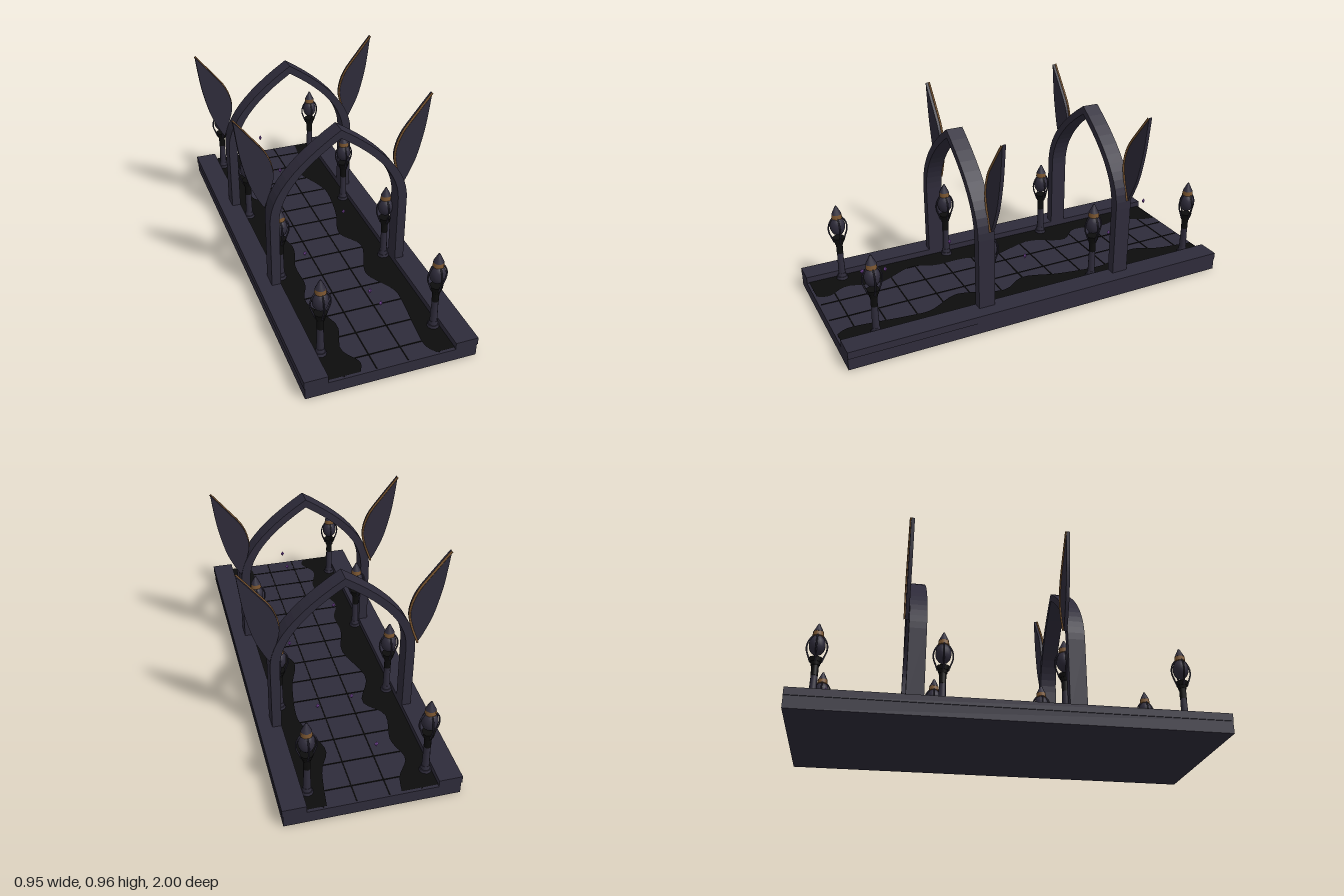
import * as THREE from 'three';

const mat = (name, color, side = THREE.FrontSide) => {
  const m = new THREE.MeshStandardMaterial({ color, side });
  m.name = name;
  return m;
};
const V2 = (x, y) => new THREE.Vector2(x, y);

export function createModel() {
  const root = new THREE.Group();
  const stone = mat('dark slate', 0x2e2b3a);
  const black = mat('black', 0x0c0c0c, THREE.DoubleSide);
  const bronze = mat('bronze', 0x7a5530);
  const violet = mat('violet', 0x7a48a0);

  const add = (parent, name, geo, material, x = 0, y = 0, z = 0) => {
    const m = new THREE.Mesh(geo, material);
    m.name = name;
    m.position.set(x, y, z);
    parent.add(m);
    return m;
  };
  const box = (w, h, d) => new THREE.BoxGeometry(w, h, d);

  // Bridge deck and raised curbs
  add(root, 'deck', box(0.81, 0.06, 2), stone, 0, 0.03, 0);
  for (const s of [-1, 1]) add(root, 'curb', box(0.11, 0.036, 2), stone, s * 0.355, 0.077, 0);

  // Thin joints between the paving slabs
  for (const x of [-0.225, -0.075, 0.075, 0.225])
    add(root, 'pavingJoint', box(0.005, 0.003, 1.98), black, x, 0.0615, 0);
  for (let i = -6; i <= 6; i++)
    add(root, 'pavingJoint', box(0.6, 0.003, 0.005), black, 0, 0.0615, i * 0.15);

  // Wavy dark growth along both sides of the path: [x, z] of the inner edge
  const edges = [
    [[-0.13, -0.99], [-0.15, -0.9], [-0.21, -0.8], [-0.18, -0.67], [-0.21, -0.5], [-0.13, -0.38], [-0.2, -0.2],
      [-0.14, 0.03], [-0.18, 0.2], [-0.18, 0.35], [-0.22, 0.48], [-0.14, 0.67], [-0.18, 0.83], [-0.13, 0.93], [-0.15, 0.99]],
    [[0.21, -0.99], [0.18, -0.79], [0.13, -0.66], [0.19, -0.5], [0.21, -0.39], [0.18, -0.18], [0.13, 0],
      [0.2, 0.14], [0.14, 0.32], [0.14, 0.4], [0.21, 0.53], [0.21, 0.64], [0.19, 0.8], [0.18, 0.93], [0.21, 0.99]],
  ];
  edges.forEach((pts, i) => {
    const side = i ? 0.3 : -0.3;
    const shape = new THREE.Shape();
    shape.moveTo(side, 0.99);
    shape.lineTo(pts[0][0], 0.99);
    shape.splineThru(pts.slice(1).map(([x, z]) => V2(x, -z)));
    shape.lineTo(side, -0.99);
    add(root, 'darkGrowth', new THREE.ShapeGeometry(shape, 4).rotateX(-Math.PI / 2), black, 0, 0.0655, 0);
  });

  // Pointed arch
  const archShape = new THREE.Shape();
  archShape.moveTo(0.345, 0.09);
  archShape.lineTo(0.345, 0.45);
  archShape.quadraticCurveTo(0.345, 0.66, 0, 0.88);
  archShape.quadraticCurveTo(-0.345, 0.66, -0.345, 0.45);
  archShape.lineTo(-0.345, 0.09);
  archShape.lineTo(-0.3, 0.09);
  archShape.lineTo(-0.3, 0.45);
  archShape.quadraticCurveTo(-0.3, 0.645, 0, 0.838);
  archShape.quadraticCurveTo(0.3, 0.645, 0.3, 0.45);
  archShape.lineTo(0.3, 0.09);
  const archGeo = new THREE.ExtrudeGeometry(archShape, { depth: 0.082, bevelEnabled: false, curveSegments: 12 });

  // Leaf-shaped wing with a bronze trim on its inner edge
  const inner = [V2(0.345, 0.488), V2(0.308, 0.595), V2(0.297, 0.67), V2(0.325, 0.765), V2(0.4, 0.868), V2(0.473, 0.96)];
  const outer = [V2(0.46, 0.85), V2(0.446, 0.76), V2(0.414, 0.633), V2(0.376, 0.544), V2(0.345, 0.488)];
  const leaf = new THREE.Shape();
  leaf.moveTo(inner[0].x, inner[0].y);
  leaf.splineThru(inner.slice(1));
  leaf.splineThru(outer);
  const leafGeo = new THREE.ExtrudeGeometry(leaf, { depth: 0.017, bevelEnabled: false, curveSegments: 5 });
  const trimPath = new THREE.CatmullRomCurve3(inner.map((p) => new THREE.Vector3(p.x, p.y, 0)));
  const trimGeo = new THREE.TubeGeometry(trimPath, 28, 0.0055, 6);

  for (const z of [0.2575, -0.4845]) {
    const arch = new THREE.Group();
    arch.name = 'archway';
    arch.position.z = z;
    add(arch, 'arch', archGeo, stone);
    for (const turn of [0, Math.PI]) {
      const wing = new THREE.Group();
      wing.name = 'wing';
      wing.rotation.y = turn;
      add(wing, 'wingBlade', leafGeo, stone, 0, 0, 0.003);
      add(wing, 'wingTrim', trimGeo, bronze, 0, 0, 0.0215);
      arch.add(wing);
    }
    root.add(arch);
  }

  // Lamp post with a caged globe
  const ribPath = new THREE.CatmullRomCurve3(
    [[0.024, 0.275], [0.033, 0.3], [0.045, 0.335], [0.045, 0.365], [0.034, 0.393], [0.022, 0.408]]
      .map(([x, y]) => new THREE.Vector3(x, y, 0)));
  const ribGeo = new THREE.TubeGeometry(ribPath, 14, 0.004, 5);
  // [name, top radius, bottom radius, bottom y, top y, material]
  const lampParts = [
    ['lampFoot', 0.026, 0.03, 0.062, 0.079, stone],
    ['lampPlinth', 0.019, 0.022, 0.079, 0.098, stone],
    ['lampPost', 0.0155, 0.018, 0.098, 0.21, stone],
    ['lampNeck', 0.0165, 0.0165, 0.21, 0.265, black],
    ['lampCollar', 0.024, 0.02, 0.26, 0.28, black],
    ['lampDish', 0.031, 0.026, 0.276, 0.297, black],
    ['lampBand', 0.024, 0.027, 0.405, 0.427, bronze],
    ['lampCap', 0.004, 0.025, 0.427, 0.47, stone],
  ].map(([name, rt, rb, y0, y1, m]) =>
    [name, new THREE.CylinderGeometry(rt, rb, y1 - y0, 10), m, (y0 + y1) / 2]);
  const globeGeo = new THREE.SphereGeometry(1, 14, 10).scale(0.038, 0.05, 0.038);

  for (const x of [-0.274, 0.274]) {
    for (const z of [0.825, 0.253, -0.318, -0.89]) {
      const lamp = new THREE.Group();
      lamp.name = 'lamp';
      lamp.position.set(x, 0, z);
      for (const [name, geo, m, y] of lampParts) add(lamp, name, geo, m, 0, y, 0);
      add(lamp, 'lampGlobe', globeGeo, stone, 0, 0.362, 0);
      for (let i = 0; i < 4; i++) add(lamp, 'cageRib', ribGeo, stone).rotation.y = (i * Math.PI) / 2;
      root.add(lamp);
    }
  }

  // Floating crystals
  const crystalGeo = new THREE.OctahedronGeometry(1).scale(0.01, 0.015, 0.01);
  for (const [x, y, z] of [
    [-0.157, 0.198, 0.28], [-0.05, 0.238, -0.85], [-0.04, 0.213, -0.49], [0.018, 0.247, 0.8],
    [0.015, 0.228, 0.685], [0.13, 0.203, -0.508], [0.153, 0.199, 0],
  ]) add(root, 'crystal', crystalGeo, violet, x, y, z);

  return root;
}
